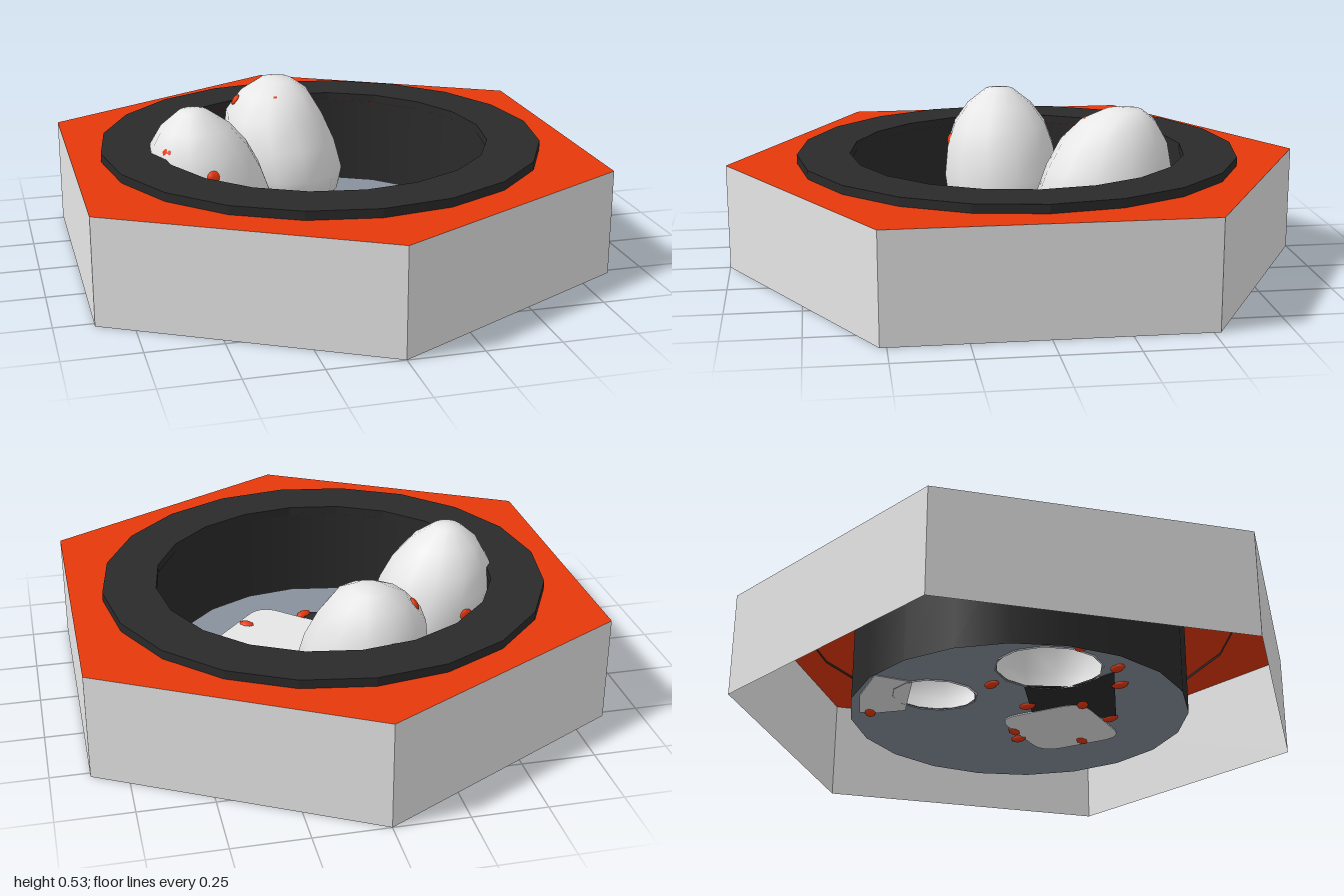
import * as THREE from 'three';

const mat = (name, color) => {
  const m = new THREE.MeshStandardMaterial({ color, side: THREE.DoubleSide });
  m.name = name;
  return m;
};

export function createModel() {
  const white = mat('white', 0xe6e6e6);
  const orange = mat('orange', 0xe8380a);
  const black = mat('black', 0x2a2a2a);
  const slate = mat('slate', 0x87919c);

  const model = new THREE.Group();
  model.name = 'hexagonalNest';
  const add = (name, geometry, material, x = 0, y = 0, z = 0) => {
    const mesh = new THREE.Mesh(geometry, material);
    mesh.name = name;
    mesh.position.set(x, y, z);
    model.add(mesh);
    return mesh;
  };
  const faceted = (g) => {
    const f = g.toNonIndexed();
    f.computeVertexNormals();
    return f;
  };
  // Shapes are drawn as (x, -z) and laid flat
  const polygon = (points) => new THREE.Shape(points.map(([x, z]) => new THREE.Vector2(x, -z)));
  const ring = (n, r, cx = 0, cz = 0, rz = r) => Array.from({ length: n }, (_, i) => {
    const a = (i / n) * Math.PI * 2;
    return [cx + r * Math.sin(a), cz + rz * Math.cos(a)];
  });
  const flat = (shape) => new THREE.ShapeGeometry(shape).rotateX(-Math.PI / 2);
  const plate = (shape, t) =>
    new THREE.ExtrudeGeometry(shape, { depth: t, bevelEnabled: false }).rotateX(-Math.PI / 2);

  const H = 0.365, BASE = 0.03, FLOOR = 0.06, CX = -0.005, CZ = -0.008;

  // Open hexagonal wall and its top with a round opening
  const hex = [[0, 1], [0.87, 0.522], [0.87, -0.522], [0, -1], [-0.87, -0.522], [-0.87, 0.522]];
  const walls = new THREE.CylinderGeometry(1, 1, H, 6, 1, true);
  const wp = walls.attributes.position;
  for (let i = 0; i < wp.count; i++) {
    const [x, z] = hex[i % 7 % 6];
    wp.setXYZ(i, x, wp.getY(i), z);
  }
  add('hexWall', faceted(walls), white, 0, H / 2, 0);
  const top = polygon(hex);
  top.holes.push(polygon(ring(20, 0.585, CX, CZ)));
  add('hexTop', flat(top), orange, 0, H, 0);

  // Raised rim around the opening, its edge just piercing the top
  const rim = polygon(ring(20, 0.766));
  rim.holes.push(polygon(ring(20, 0.583)));
  add('rim', plate(rim, 0.029), black, CX, H + 0.001, CZ);
  add('rimEdge', new THREE.CylinderGeometry(0.766, 0.766, 0.01, 20, 1, true), black, CX, H - 0.004, CZ);

  // Well wall
  add('wellWall', new THREE.CylinderGeometry(0.585, 0.585, H - BASE, 20, 1, true), black,
    CX, (H + BASE) / 2, CZ);

  // Floor with openings beneath the hollow boulders, and its sloping edge
  const floor = polygon(ring(20, 0.56, CX, CZ));
  floor.holes.push(polygon(ring(14, 0.16, -0.353, 0, 0.175)));
  floor.holes.push(polygon(ring(14, 0.12, -0.04, -0.315, 0.14)));
  add('wellFloor', flat(floor), slate, 0, FLOOR, 0);
  const edge = new THREE.CylinderGeometry(0.56, 0.585, FLOOR - BASE, 20, 1, true);
  const up = edge.attributes.normal;
  for (let i = 0; i < up.count; i++) up.setXYZ(i, 0, 1, 0);
  add('floorEdge', edge, slate, CX, (FLOOR + BASE) / 2, CZ);

  // Thin floor patches, showing on both faces of the floor
  const rounded = (w, h, r) => {
    const s = new THREE.Shape();
    const x = w / 2, y = h / 2;
    s.moveTo(-x + r, -y).lineTo(x - r, -y).quadraticCurveTo(x, -y, x, -y + r);
    s.lineTo(x, y - r).quadraticCurveTo(x, y, x - r, y);
    s.lineTo(-x + r, y).quadraticCurveTo(-x, y, -x, y - r);
    s.lineTo(-x, -y + r).quadraticCurveTo(-x, -y, -x + r, -y);
    return s;
  };
  const square = add('squarePatch', plate(rounded(0.325, 0.35, 0.08), 0.009), white,
    0.125, FLOOR - 0.0045, 0.183);
  square.rotation.y = 0.83;
  const dark = polygon([[-0.19, -0.04], [0.03, 0.05], [-0.01, 0.345], [-0.38, 0.215], [-0.22, 0.11]]);
  add('darkPatch', plate(dark, 0.006), black, 0, FLOOR - 0.003, 0);
  const back = polygon([[-0.15, -0.54], [0.03, -0.56], [0.175, -0.535], [0.165, -0.48], [0.115, -0.385],
    [-0.13, -0.41]]);
  add('backPatch', plate(back, 0.006), white, 0, FLOOR - 0.003, 0);

  // Hollow leaning boulders, built from stacked cross-sections [y, x, z, rx, rz]
  const boulder = (name, sections) => {
    const n = 12, pos = [], index = [];
    sections.forEach(([y, cx, cz, rx, rz], j) => {
      for (let i = 0; i < n; i++) {
        const a = ((i + 0.3) / n) * Math.PI * 2;
        pos.push(cx + rx * Math.sin(a), y, cz + rz * Math.cos(a));
        if (j === 0) continue;
        const p = (j - 1) * n + i, q = (j - 1) * n + ((i + 1) % n);
        index.push(p, q, q + n, p, q + n, p + n);
      }
    });
    const [y, cx, cz] = sections.at(-1);
    pos.push(cx, y + 0.006, cz);
    const base = (sections.length - 1) * n;
    for (let i = 0; i < n; i++) index.push(base + i, base + ((i + 1) % n), base + n);
    const g = new THREE.BufferGeometry();
    g.setAttribute('position', new THREE.Float32BufferAttribute(pos, 3));
    g.setIndex(index);
    g.computeVertexNormals();
    add(name, g, white);
  };
  boulder('leftBoulder', [
    [0.056, -0.353, 0, 0.165, 0.18], [0.12, -0.373, 0, 0.2, 0.205], [0.22, -0.397, 0, 0.213, 0.217],
    [0.32, -0.42, 0, 0.2, 0.205], [0.4, -0.435, 0, 0.172, 0.177], [0.47, -0.445, 0, 0.122, 0.124],
    [0.526, -0.453, 0, 0.05, 0.052],
  ]);
  boulder('backBoulder', [
    [0.056, -0.04, -0.315, 0.125, 0.145], [0.12, -0.049, -0.32, 0.182, 0.217],
    [0.2, -0.06, -0.33, 0.212, 0.25], [0.3, -0.075, -0.35, 0.205, 0.23],
    [0.395, -0.088, -0.37, 0.178, 0.195], [0.47, -0.08, -0.385, 0.125, 0.135],
    [0.51, -0.073, -0.4, 0.06, 0.068],
  ]);

  // Small orange studs on the floor patches: x, z, turn
  const stud = new THREE.SphereGeometry(1, 8, 6).scale(0.032, 0.015, 0.02);
  [
    [0.165, -0.5, -0.3], [-0.035, 0.015, 0.8], [0.2, 0.03, -0.6], [0.265, 0.065, 0.7],
    [0.22, 0.29, -0.7], [-0.005, 0.325, 0.6], [-0.095, 0.195, -0.2], [-0.29, 0.265, 0.8],
    [-0.415, 0.215, 0.3], [-0.18, -0.15, 0.4], [-0.54, 0.055, 0.4],
  ].forEach(([x, z, turn]) => {
    add('floorStud', stud, orange, x, FLOOR, z).rotation.y = turn;
  });

  // Flat studs set into the boulders: position, then outward direction
  const spot = new THREE.SphereGeometry(1, 10, 6).scale(0.024, 0.022, 0.009);
  [
    [-0.56, 0.41, 0.095, -0.8, 0.5, 0.5], [-0.42, 0.345, 0.19, 0.1, 0.3, 1],
    [-0.472, 0.27, -0.198, -0.3, 0.1, -1], [-0.226, 0.44, -0.4, -0.85, 0.6, -0.1],
    [-0.105, 0.46, -0.262, -0.1, 0.65, 0.8],
  ].forEach(([x, y, z, dx, dy, dz]) => {
    add('boulderStud', spot, orange, x, y, z).lookAt(x + dx, y + dy, z + dz);
  });

  return model;
}
